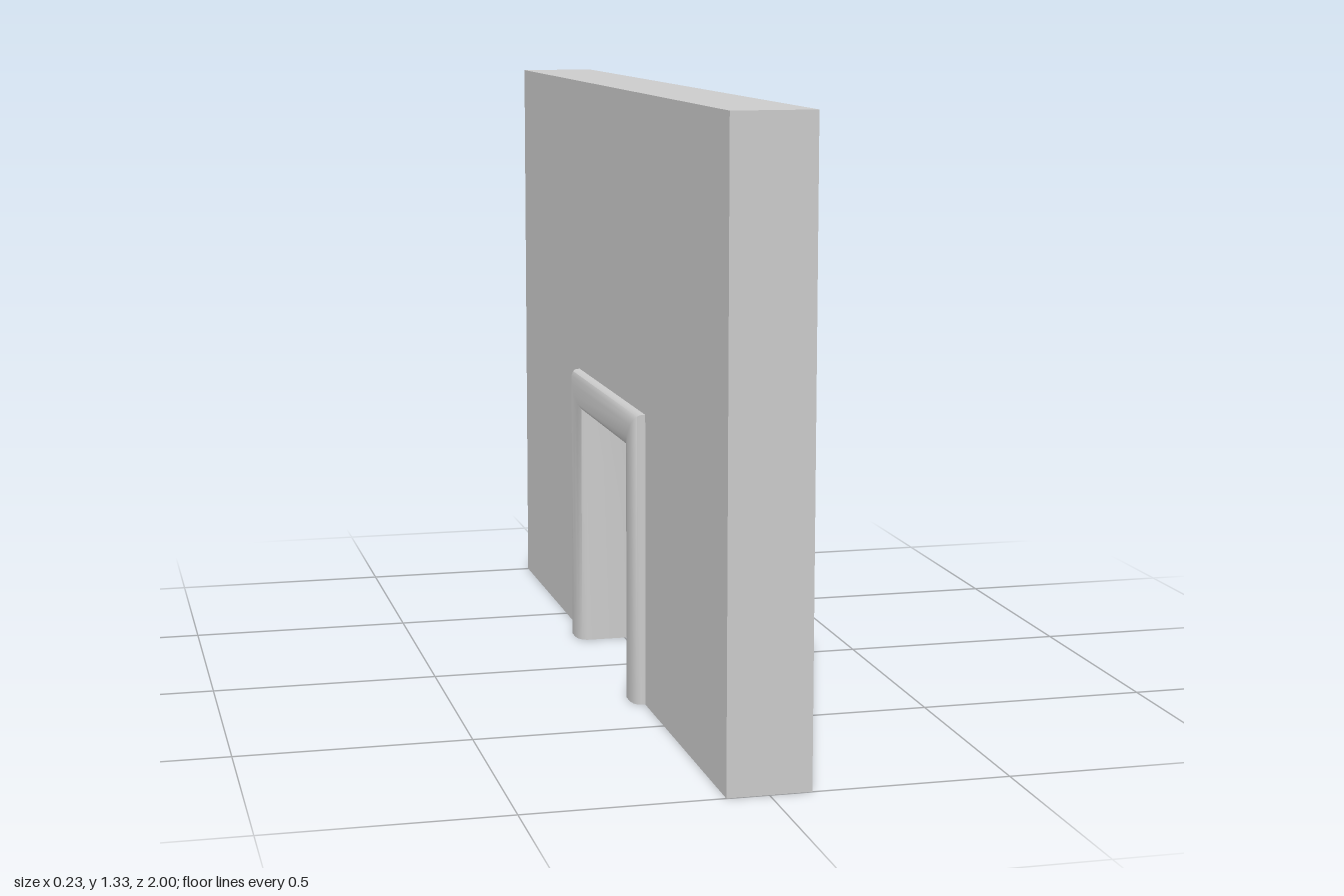
import * as THREE from 'three';
import { toCreasedNormals } from 'three/addons/utils/BufferGeometryUtils.js';

const HALF_WALL = 0.0875, WALL_TOP = 1.333;
const INNER_Z = 0.235, OUTER_Z = 0.333, INNER_Y = 0.558, OUTER_Y = 0.645;

// Wall slab with a doorway notch, running along z
function wallGeometry() {
  const shape = new THREE.Shape([
    [-1, 0], [-OUTER_Z, 0], [-OUTER_Z, OUTER_Y], [OUTER_Z, OUTER_Y],
    [OUTER_Z, 0], [1, 0], [1, WALL_TOP], [-1, WALL_TOP],
  ].map(([z, y]) => new THREE.Vector2(z, y)));
  return new THREE.ExtrudeGeometry(shape, { depth: 2 * HALF_WALL, bevelEnabled: false })
    .translate(0, 0, -HALF_WALL)
    .rotateY(-Math.PI / 2);
}

// Rounded trim section swept up one jamb, across the head and down the other
function frameGeometry() {
  // [distance from the opening, 0 to 1; x]
  const half = [
    [1, HALF_WALL], [1, 0.097], [0.95, 0.105], [0.85, 0.111], [0.68, 0.1145],
    [0.36, 0.1145], [0.18, 0.111], [0.06, 0.104], [0, 0.093],
  ];
  const section = [...half, ...half.map(([d, x]) => [d, -x]).reverse()];
  const stations = [[1, 0], [1, 1], [-1, 1], [-1, 0]]; // side, at head height
  const n = section.length, positions = [], index = [];
  for (const [side, up] of stations) {
    for (const [d, x] of section) {
      positions.push(x,
        up * THREE.MathUtils.lerp(INNER_Y, OUTER_Y, d),
        side * THREE.MathUtils.lerp(INNER_Z, OUTER_Z, d));
    }
  }
  for (let k = 0; k < 3; k++) {
    for (let j = 0; j < n - 1; j++) {
      const a = k * n + j, c = a + n;
      index.push(a, a + 1, c, a + 1, c + 1, c);
    }
  }
  // Feet of the two jambs
  for (let j = 1; j < n - 1; j++) {
    index.push(0, j + 1, j, 3 * n, 3 * n + j, 3 * n + j + 1);
  }
  const geometry = new THREE.BufferGeometry();
  geometry.setAttribute('position', new THREE.Float32BufferAttribute(positions, 3));
  geometry.setIndex(index);
  return toCreasedNormals(geometry, 0.9);
}

export function createModel() {
  const material = new THREE.MeshStandardMaterial({ color: 0xcccccc });
  const group = new THREE.Group();
  group.name = 'wallWithDoorway';
  const add = (name, geometry) => {
    const mesh = new THREE.Mesh(geometry, material);
    mesh.name = name;
    group.add(mesh);
  };
  add('wall', wallGeometry());
  add('doorFrame', frameGeometry());
  return group;
}
